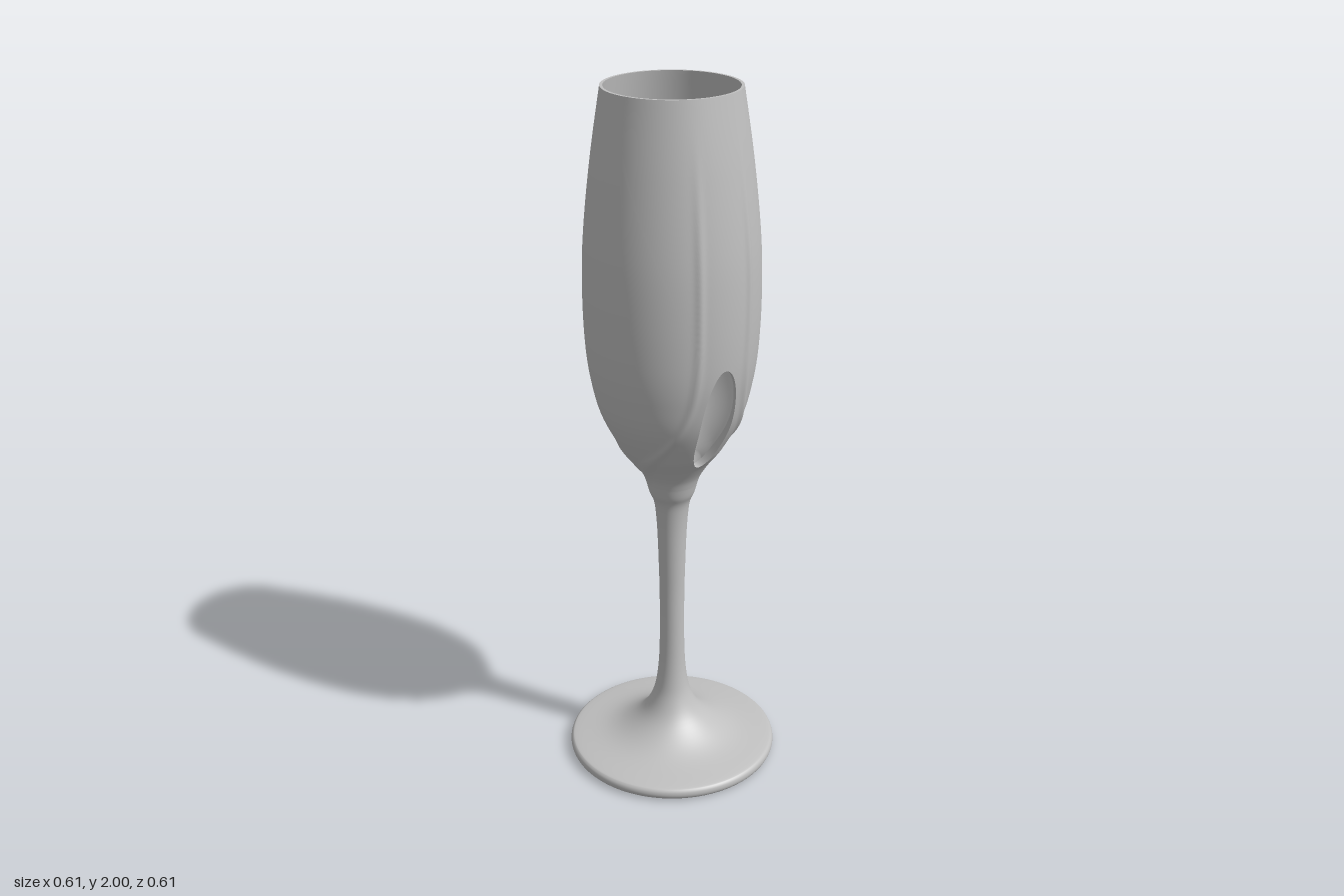
import * as THREE from 'three';
import { mergeGeometries, mergeVertices } from 'three/addons/utils/BufferGeometryUtils.js';

const HALF = Math.PI / 2, TOP = 2, NECK = 0.88, FLOOR = 0.95;
const HOLE = { y: 1.13, halfHeight: 0.16, halfWidth: 0.055 };

// Bowl outline as [height, radius]
const bowl = [[0.85, 0.064], [0.88, 0.072], [0.91, 0.083], [0.95, 0.108], [1, 0.145], [1.1, 0.197], [1.2, 0.223],
  [1.3, 0.236], [1.45, 0.241], [1.6, 0.236], [1.8, 0.215], [2, 0.185], [2.1, 0.168]];

// Smooth interpolation through the outline
function radius(y) {
  let i = 1;
  while (i < bowl.length - 3 && y > bowl[i + 1][0]) i++;
  const slope = k => (bowl[k + 1][1] - bowl[k - 1][1]) / (bowl[k + 1][0] - bowl[k - 1][0]);
  const [y0, r0] = bowl[i], [y1, r1] = bowl[i + 1], h = y1 - y0, t = (y - y0) / h, t2 = t * t, t3 = t2 * t;
  return (2 * t3 - 3 * t2 + 1) * r0 + (t3 - 2 * t2 + t) * h * slope(i)
    + (3 * t2 - 2 * t3) * r1 + (t3 - t2) * h * slope(i + 1);
}

// Raised edge bordering the large front and back panels
function ridge(a, y) {
  const k = Math.max(0, (1.5 - y) / 0.56), r = radius(y);
  const edge = 0.34 + 1.23 * k ** 4.85;
  const steep = 1.23 * 4.85 / 0.56 * k ** 3.85 * r;
  const d = (Math.abs(a) - edge) * r / Math.hypot(1, steep) / 0.011;
  return 0.006 * Math.exp(-d * d) * (1 - THREE.MathUtils.smoothstep(y, 1.55, 1.95));
}

const outerRadius = (a, y) => radius(y) + ridge(a, y);
const innerRadius = (a, y) => radius(y) - 0.008 - 0.02 * (1 - THREE.MathUtils.smoothstep(y, 0.95, 1.2));

// Rows of points joined into a surface
function grid(rows, flip) {
  const n = rows[0].length, index = [];
  for (let i = 0; i < rows.length - 1; i++) {
    for (let j = 0; j < n; j++) {
      const a = i * n + j, b = i * n + (j + 1) % n, c = a + n, d = b + n;
      index.push(...(flip ? [a, c, b, b, c, d] : [a, b, c, b, d, c]));
    }
  }
  const g = new THREE.BufferGeometry().setFromPoints(rows.flat());
  g.setIndex(index);
  return g;
}

// Half a bowl wall: rings growing from the oval opening to the patch border
function wallRows(radiusAt, bottom, rings, turn) {
  const border = [];
  const side = (n, a0, y0, a1, y1) => {
    for (let i = 0; i < n; i++) border.push([a0 + (a1 - a0) * i / n, y0 + (y1 - y0) * i / n]);
  };
  side(60, -HALF, bottom, HALF, bottom);
  side(56, HALF, bottom, HALF, TOP);
  side(80, HALF, TOP, -HALF, TOP);
  side(56, -HALF, TOP, -HALF, bottom);
  const rows = [];
  for (let i = 0; i <= rings; i++) {
    const s = i / rings;
    rows.push(border.map(([a1, y1]) => {
      const phi = Math.atan2((y1 - HOLE.y) / 0.4, a1 / 0.8);
      const y0 = HOLE.y + HOLE.halfHeight * Math.sin(phi);
      const a0 = Math.asin(HOLE.halfWidth * Math.cos(phi) / radius(y0));
      const a = a0 + (a1 - a0) * s, y = y0 + (y1 - y0) * s, r = radiusAt(a, y);
      return new THREE.Vector3(r * Math.cos(a + turn), y, r * Math.sin(a + turn));
    }));
  }
  return rows;
}

// Weld pieces into one smooth surface
function weld(pieces) {
  for (const g of pieces) {
    g.deleteAttribute('normal');
    g.deleteAttribute('uv');
  }
  const g = mergeVertices(mergeGeometries(pieces), 1e-4);
  g.computeVertexNormals();
  return g;
}

const lathe = points => new THREE.LatheGeometry(points, 120);
const vectors = list => list.map(([x, y]) => new THREE.Vector2(x, y));

export function createModel() {
  const model = new THREE.Group();
  const glass = new THREE.MeshStandardMaterial({ color: 0xc0c0c0, side: THREE.DoubleSide });
  glass.name = 'light grey';
  const add = (name, geometry) => {
    const mesh = new THREE.Mesh(geometry, glass);
    mesh.name = name;
    model.add(mesh);
    return mesh;
  };

  // Foot, stem and outer bowl flow into one another
  const stem = new THREE.SplineCurve(vectors([[0.294, 0], [0.304, 0.008], [0.307, 0.02], [0.302, 0.032], [0.285, 0.038],
    [0.2, 0.053], [0.14, 0.078], [0.09, 0.118], [0.06, 0.17], [0.045, 0.23], [0.037, 0.33], [0.036, 0.5],
    [0.038, 0.6], [0.042, 0.72], [0.047, 0.79], [0.053, 0.825], [0.064, 0.85], [radius(NECK), NECK]]));
  const outer = [0, Math.PI].map(turn => wallRows(outerRadius, NECK, 44, turn));
  add('outerBowlStemAndFoot', weld([lathe(stem.getPoints(68)), ...outer.map(rows => grid(rows, false))]));

  // Inner bowl with its rounded floor
  const inner = [0, Math.PI].map(turn => wallRows(innerRadius, FLOOR, 24, turn));
  const floor = vectors([[innerRadius(0, FLOOR), FLOOR], [0.065, 0.938], [0.04, 0.929], [0, 0.925]]);
  add('innerBowl', weld([lathe(floor), ...inner.map(rows => grid(rows, true))]));

  // Cut edges of the two side openings
  outer.forEach((rows, i) => {
    const edge = grid([rows[0], inner[i][0]], true);
    edge.computeVertexNormals();
    add(i ? 'rightOpeningEdge' : 'leftOpeningEdge', edge);
  });

  // Drinking rim and underside of the foot
  const rim = add('rim', new THREE.RingGeometry(innerRadius(0, TOP), radius(TOP), 120));
  rim.rotation.x = -HALF;
  rim.position.y = TOP;
  add('footUnderside', new THREE.CircleGeometry(0.294, 120)).rotation.x = HALF;

  return model;
}
